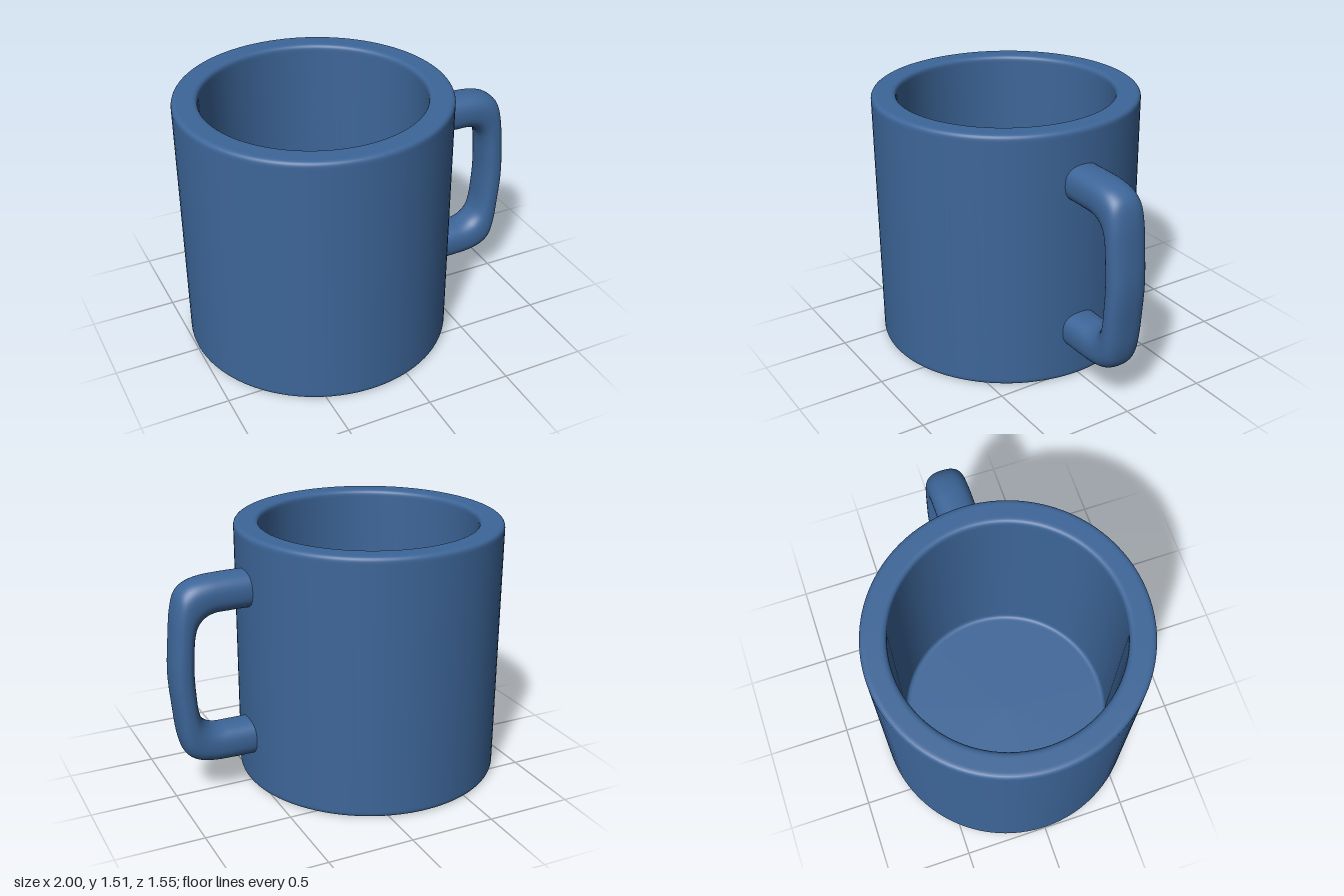
import * as THREE from 'three';

const material = new THREE.MeshStandardMaterial({ color: 0x3d6699, roughness: 0.7 });

// Lathe profile with every listed corner [radius, y, fillet] rounded
function roundedProfile(corners) {
  const pts = [];
  corners.forEach(([x, y, r], k) => {
    const p = new THREE.Vector2(x, y);
    if (!r) { pts.push(p); return; }
    const toward = (q, d) => new THREE.Vector2(q[0], q[1]).sub(p).setLength(d).add(p);
    const prev = corners[k - 1], next = corners[k + 1];
    const arc = new THREE.QuadraticBezierCurve(toward(prev, r), p, toward(next, r));
    // Support points beside the fillet keep the long faces evenly shaded
    pts.push(toward(prev, r * 1.3), ...arc.getPoints(6), toward(next, r * 1.3));
  });
  return pts;
}

function makeBody() {
  const profile = roundedProfile([
    [0, 0, 0],
    [0.773, 0, 0.03],
    [0.773, 1.515, 0.03],
    [0.63, 1.515, 0.03],
    [0.63, 0.145, 0.03],
    [0, 0.145, 0],
  ]);
  const body = new THREE.Mesh(new THREE.LatheGeometry(profile, 96), material);
  body.name = 'mugBody';
  body.position.x = -0.227;
  return body;
}

// Handle lofted between an outer and an inner outline, mirrored top to bottom
function makeHandle() {
  const midY = 0.755, halfWidth = 0.114, power = 2 / 2.5;
  const outer = [[0.48, 0.555], [0.68, 0.555], [0.8, 0.547], [0.88, 0.525], [0.935, 0.48], [0.965, 0.39], [0.985, 0.22], [1, 0]];
  const inner = [[0.48, 0.345], [0.66, 0.345], [0.74, 0.342], [0.795, 0.32], [0.835, 0.275], [0.855, 0.21], [0.864, 0.11], [0.868, 0]];
  const outline = (half) => {
    const lower = half.slice(0, -1).reverse().map(([x, y]) => [x, -y]);
    return new THREE.CatmullRomCurve3(
      [...half, ...lower].map(([x, y]) => new THREE.Vector3(x, midY + y, 0)));
  };
  const outerCurve = outline(outer), innerCurve = outline(inner);
  const steps = 84, sides = 40;
  const soft = (v) => Math.sign(v) * Math.pow(Math.abs(v), power);
  const positions = [], index = [];

  for (let i = 0; i <= steps; i++) {
    const o = outerCurve.getPoint(i / steps), n = innerCurve.getPoint(i / steps);
    const mid = o.clone().add(n).multiplyScalar(0.5);
    const half = o.clone().sub(n).multiplyScalar(0.5);
    for (let j = 0; j < sides; j++) {
      const a = (j / sides) * Math.PI * 2;
      const p = mid.clone().addScaledVector(half, soft(Math.cos(a)));
      positions.push(p.x, p.y, halfWidth * soft(Math.sin(a)));
      if (i < steps) {
        const k = (j + 1) % sides;
        const a0 = i * sides + j, b0 = i * sides + k;
        index.push(a0, b0, a0 + sides, b0, b0 + sides, a0 + sides);
      }
    }
  }
  const geometry = new THREE.BufferGeometry();
  geometry.setAttribute('position', new THREE.Float32BufferAttribute(positions, 3));
  geometry.setIndex(index);
  geometry.computeVertexNormals();
  const handle = new THREE.Mesh(geometry, material);
  handle.name = 'handle';
  return handle;
}

export function createModel() {
  const group = new THREE.Group();
  group.name = 'mug';
  group.add(makeBody(), makeHandle());
  return group;
}
